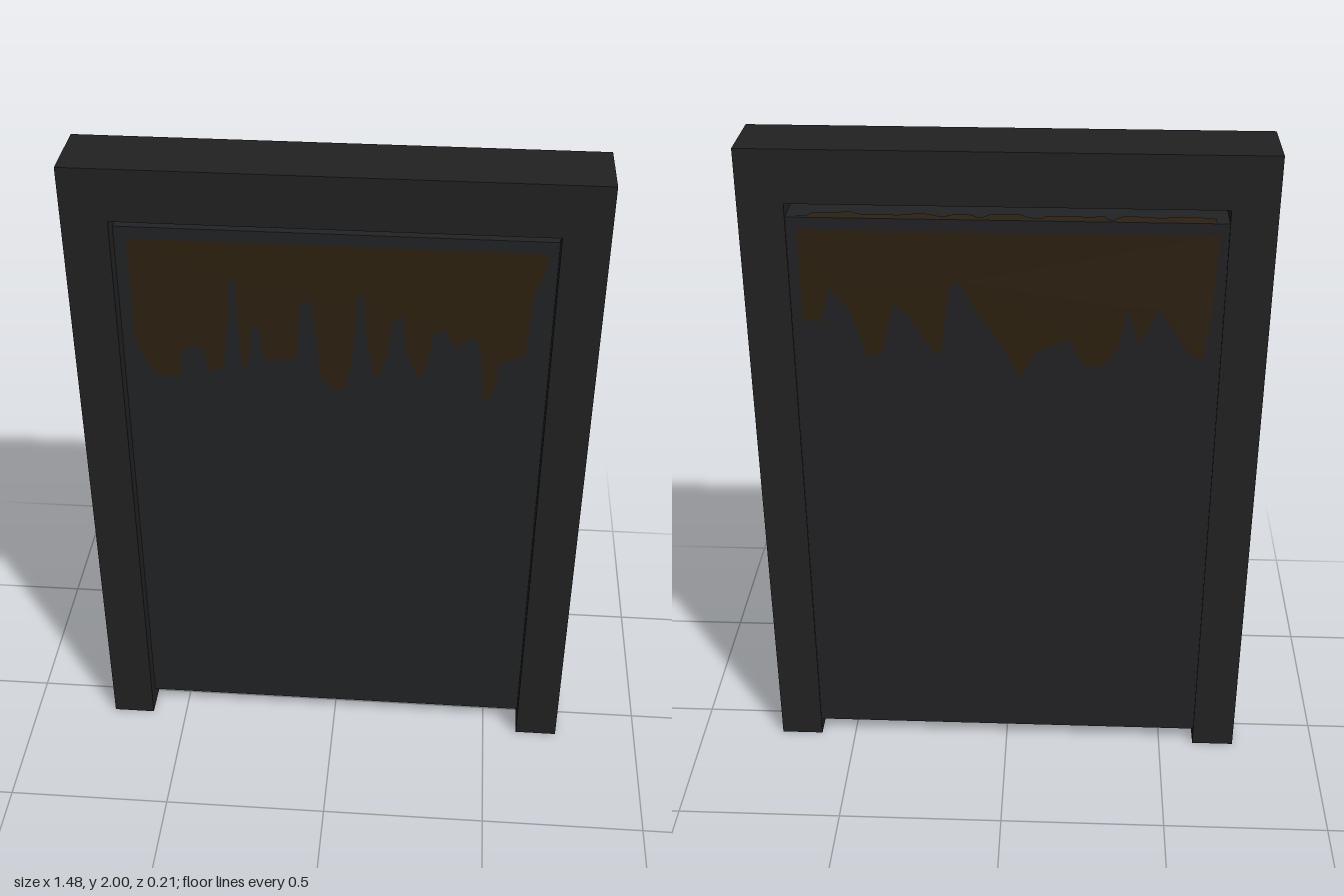
import * as THREE from 'three';

const frameMat = new THREE.MeshStandardMaterial({ color: 0x222222 });
frameMat.name = 'charcoal frame';
const panelMat = new THREE.MeshStandardMaterial({ color: 0x222325 });
panelMat.name = 'slate panel';
const dripMat = new THREE.MeshStandardMaterial({ color: 0x2d2110 });
dripMat.name = 'dark brown drips';

// Overall sizes
const HALF_W = 0.74, HALF_D = 0.105, HEIGHT = 2;
const OPEN_W = 0.61, OPEN_TOP = 1.845;
const PANEL = { bottom: 0.055, top: 1.805, back: -0.1, front: 0.053 };
const DRIP_TOP = 1.77;

// Lower edge of the drips, as x, y pairs from left to right
const frontDrips = [
  [-0.575, 1.45], [-0.55, 1.38], [-0.52, 1.33], [-0.45, 1.32], [-0.44, 1.42], [-0.38, 1.43],
  [-0.36, 1.34], [-0.32, 1.37], [-0.305, 1.5], [-0.295, 1.66], [-0.28, 1.66], [-0.27, 1.4],
  [-0.26, 1.34], [-0.245, 1.4], [-0.24, 1.5], [-0.22, 1.5], [-0.2, 1.39], [-0.11, 1.4],
  [-0.1, 1.58], [-0.08, 1.6], [-0.065, 1.58], [-0.05, 1.46], [-0.04, 1.34], [0, 1.3],
  [0.03, 1.31], [0.05, 1.4], [0.065, 1.6], [0.08, 1.63], [0.09, 1.5], [0.11, 1.36],
  [0.13, 1.36], [0.15, 1.42], [0.165, 1.54], [0.19, 1.56], [0.21, 1.42], [0.24, 1.35],
  [0.26, 1.38], [0.28, 1.5], [0.31, 1.52], [0.34, 1.46], [0.4, 1.5], [0.42, 1.42],
  [0.43, 1.28], [0.455, 1.3], [0.47, 1.42], [0.54, 1.44], [0.55, 1.65], [0.575, 1.7],
];
const backDrips = [
  [-0.58, 1.5], [-0.53, 1.49], [-0.5, 1.6], [-0.44, 1.52], [-0.4, 1.39], [-0.36, 1.39],
  [-0.32, 1.55], [-0.28, 1.52], [-0.22, 1.42], [-0.19, 1.39], [-0.16, 1.61], [-0.13, 1.62],
  [-0.08, 1.52], [-0.02, 1.44], [0.04, 1.32], [0.08, 1.41], [0.13, 1.43], [0.18, 1.45],
  [0.22, 1.37], [0.28, 1.37], [0.32, 1.43], [0.34, 1.55], [0.38, 1.44], [0.43, 1.55],
  [0.47, 1.49], [0.52, 1.41], [0.56, 1.39], [0.575, 1.52],
];

function add(group, name, geometry, material) {
  const mesh = new THREE.Mesh(geometry, material);
  mesh.name = name;
  group.add(mesh);
  return mesh;
}

// Flat drip silhouette, hanging from a straight top edge
function dripGeometry(edge) {
  const shape = new THREE.Shape();
  shape.moveTo(edge[0][0], DRIP_TOP);
  edge.forEach(([x, y]) => shape.lineTo(x, y));
  shape.lineTo(0.585, DRIP_TOP);
  shape.closePath();
  return new THREE.ShapeGeometry(shape);
}

export function createModel() {
  const model = new THREE.Group();
  model.name = 'doorway';

  // Two posts and lintel as one upside-down U
  const outline = new THREE.Shape([
    [-HALF_W, 0], [-OPEN_W, 0], [-OPEN_W, OPEN_TOP], [OPEN_W, OPEN_TOP],
    [OPEN_W, 0], [HALF_W, 0], [HALF_W, HEIGHT], [-HALF_W, HEIGHT],
  ].map(([x, y]) => new THREE.Vector2(x, y)));
  const frame = new THREE.ExtrudeGeometry(outline, { depth: 2 * HALF_D, bevelEnabled: false });
  frame.translate(0, 0, -HALF_D);
  add(model, 'doorFrame', frame, frameMat);

  // Door panel, with a gap above and below
  const height = PANEL.top - PANEL.bottom;
  const depth = PANEL.front - PANEL.back;
  const midY = (PANEL.top + PANEL.bottom) / 2;
  const midZ = (PANEL.front + PANEL.back) / 2;
  const panel = new THREE.BoxGeometry(2 * OPEN_W, height, depth);
  panel.translate(0, midY, midZ);
  add(model, 'doorPanel', panel, panelMat);

  // Painted drips on the front and back
  const lift = 0.002;
  add(model, 'frontDrips', dripGeometry(frontDrips), dripMat).position.z = PANEL.front + lift;
  const back = add(model, 'backDrips', dripGeometry(backDrips), dripMat);
  back.rotation.y = Math.PI;
  back.position.z = PANEL.back - lift;

  // The same drips squeezed onto the thin top and bottom edges
  for (const side of [1, -1]) {
    const geometry = dripGeometry(frontDrips);
    geometry.translate(0, -midY, 0);
    geometry.scale(1, depth / height, 1);
    geometry.rotateX(-side * Math.PI / 2);
    const edge = add(model, side > 0 ? 'topEdgeDrips' : 'bottomEdgeDrips', geometry, dripMat);
    edge.position.set(0, side > 0 ? PANEL.top + lift : PANEL.bottom - lift, midZ);
  }

  return model;
}
